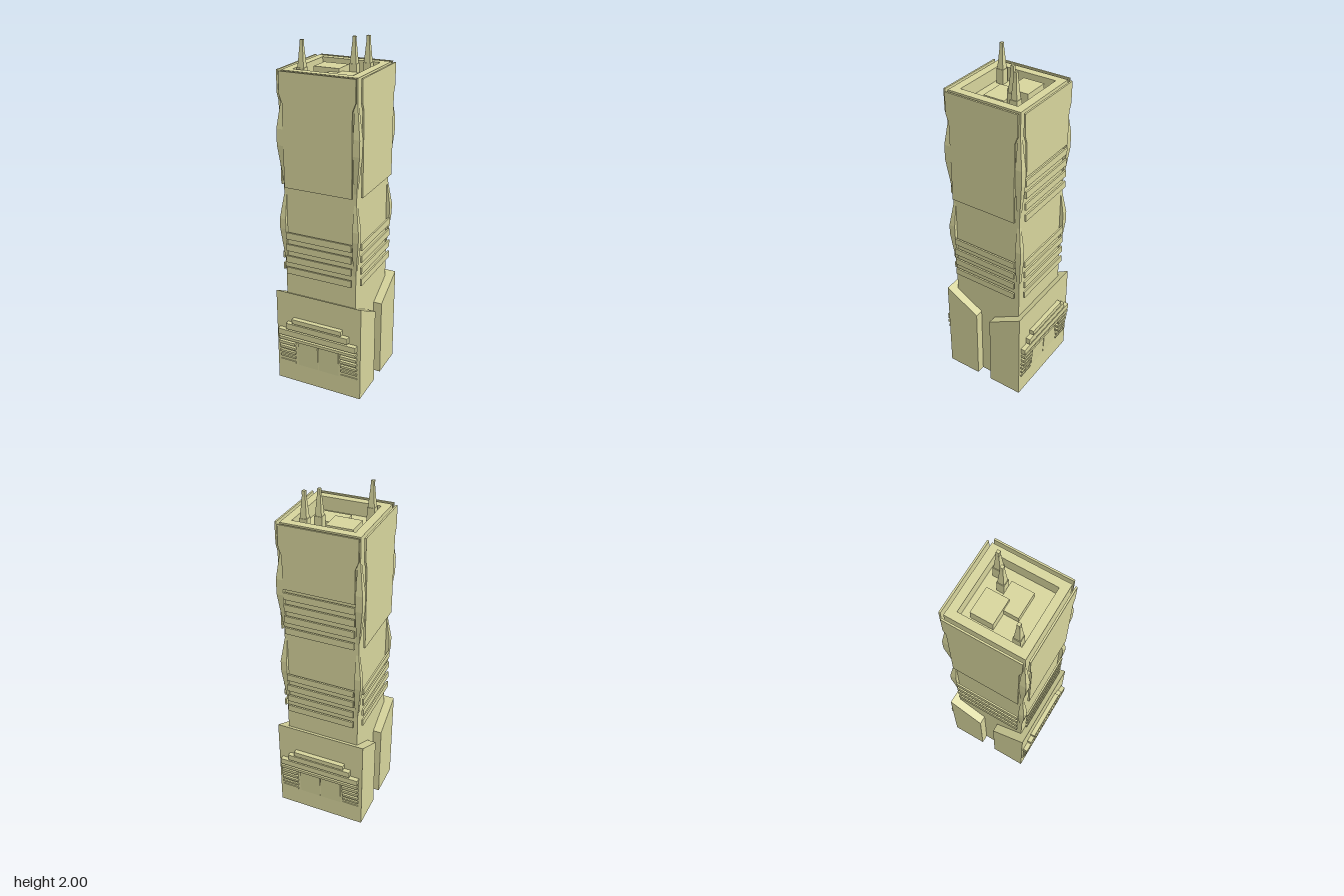
import * as THREE from 'three';

export function createModel() {
  const group = new THREE.Group();
  const stone = new THREE.MeshStandardMaterial({ color: 0xd6d49c });
  stone.name = 'pale sandstone';

  const add = (name, geometry, parent = group) => {
    const mesh = new THREE.Mesh(geometry, stone);
    mesh.name = name;
    parent.add(mesh);
    return mesh;
  };
  // box given by its limits on each axis
  const box = (name, x0, x1, y0, y1, z0, z1, parent = group) =>
    add(name, new THREE.BoxGeometry(x1 - x0, y1 - y0, z1 - z0)
      .translate((x0 + x1) / 2, (y0 + y1) / 2, (z0 + z1) / 2), parent);
  const shapeOf = (points) => new THREE.Shape(points.map(([x, y]) => new THREE.Vector2(x, y)));
  const extrude = (shape, depth) => new THREE.ExtrudeGeometry(shape, { depth, bevelEnabled: false });

  const W = 0.215, TOP = 1.855, FLOOR = 1.78;

  // tower shaft and roof parapet
  box('shaft', -W, W, 0, FLOOR, -W, W);
  const rim = shapeOf([[-W, -W], [W, -W], [W, W], [-W, W]]);
  rim.holes.push(new THREE.Path([[-0.17, -0.17], [-0.17, 0.17], [0.17, 0.17], [0.17, -0.17]]
    .map(([x, y]) => new THREE.Vector2(x, y))));
  add('parapet', extrude(rim, TOP - FLOOR).rotateX(-Math.PI / 2).translate(0, FLOOR, 0));

  // roof plant
  box('roofBlockTall', -0.138, 0.01, FLOOR, 1.84, -0.123, 0);
  box('roofBlockLow', -0.045, 0.104, FLOOR, 1.82, -0.043, 0.08);
  for (const [x, z] of [[-0.135, 0.133], [0.065, -0.07], [0.121, -0.124]]) {
    const antenna = new THREE.Group();
    antenna.name = 'antenna';
    antenna.position.set(x, 0, z);
    group.add(antenna);
    box('antennaBase', -0.021, 0.021, FLOOR, 1.86, -0.021, 0.021, antenna);
    add('antennaTaper', new THREE.CylinderGeometry(0.0125, 0.025, 0.11, 4, 1)
      .toNonIndexed().rotateY(Math.PI / 4).translate(0, 1.915, 0), antenna).geometry.computeVertexNormals();
    box('antennaTip', -0.0085, 0.0085, 1.97, 2, -0.0085, 0.0085, antenna);
  }

  // cladding: a large upper panel and slats, held off each wall
  const clad = (turn, bottom) => {
    const side = new THREE.Group();
    side.name = 'cladding';
    side.rotation.y = turn * Math.PI / 2;
    group.add(side);
    const panel = shapeOf([[-W, TOP], [-W, 1.735], [-0.198, 1.69], [-0.198, bottom],
      [0.198, bottom], [0.198, 1.69], [W, 1.735], [W, TOP]]);
    add('upperPanel', extrude(panel, 0.01).translate(0, 0, 0.232), side);
    const slat = (y) => box('slat', -0.198, 0.198, y - 0.02, y + 0.02, 0.232, 0.242, side);
    for (let i = 0; i < 4; i++) slat(0.73 + i * 0.071);
    if (bottom > 1.4) for (let i = 0; i < 4; i++) slat(1.25 + i * 0.07);
  };
  [1.228, 1.228, 1.5, 1.228].forEach((bottom, i) => clad(i, bottom));

  // faceted corner swellings, as [height, outer reach]
  const swelling = (rows, sx, sz) => {
    const n = rows.length - 1;
    const geo = new THREE.BoxGeometry(1, 1, 1, 1, n, 1).toNonIndexed();
    const p = geo.attributes.position;
    for (let i = 0; i < p.count; i++) {
      const [y, reach] = rows[Math.round((p.getY(i) + 0.5) * n)];
      const x = p.getX(i) * sx > 0 ? reach : 0.2;
      const z = p.getZ(i) * sz > 0 ? reach : 0.2;
      p.setXYZ(i, x * sx, y, z * sz);
    }
    geo.computeVertexNormals();
    add('cornerSwelling', geo);
  };
  for (const sx of [-1, 1]) for (const sz of [-1, 1]) {
    swelling([[1.24, 0.214], [1.46, 0.238], [1.55, 0.238], [1.73, 0.214]], sx, sz);
    swelling([[0.76, 0.214], [0.98, 0.236], [1.04, 0.236], [1.19, 0.214]], sx, sz);
  }

  // front and back base halves with stepped entrances
  for (const turn of [0, 1]) {
    const base = new THREE.Group();
    base.name = turn ? 'backBase' : 'frontBase';
    base.rotation.y = turn * Math.PI;
    group.add(base);
    const profile = shapeOf([[-0.253, 0], [-0.046, 0], [-0.046, 0.475], [-0.253, 0.592]]);
    add('baseBlock', extrude(profile, 0.53).rotateY(Math.PI / 2).translate(-0.265, 0, 0), base);

    // lintel steps: half width, bottom, top
    for (const [w, y0, y1] of [[0.155, 0.41, 0.438], [0.194, 0.366, 0.403], [0.245, 0.32, 0.357], [0.245, 0.29, 0.308]])
      box('lintelStep', -w, w, y0, y1, 0.25, 0.28, base);

    // ribs beside the door, shallower towards the ground
    for (let i = 0; i < 5; i++) {
      const y = 0.264 - i * 0.033, h = 0.009 - i * 0.001;
      for (const s of [-1, 1])
        box('doorRib', s < 0 ? -0.245 : 0.145, s < 0 ? -0.145 : 0.245, y - h, y + h, 0.25, 0.275 - i * 0.004, base);
    }

    // door leaves leaning out towards the lintel
    const leaf = shapeOf([[-0.252, 0.1], [-0.252, 0.29], [-0.262, 0.29]]);
    for (const x of [-0.13, 0.003])
      add('doorLeaf', extrude(leaf, 0.127).rotateY(Math.PI / 2).translate(x, 0, 0), base);
  }
  return group;
}
